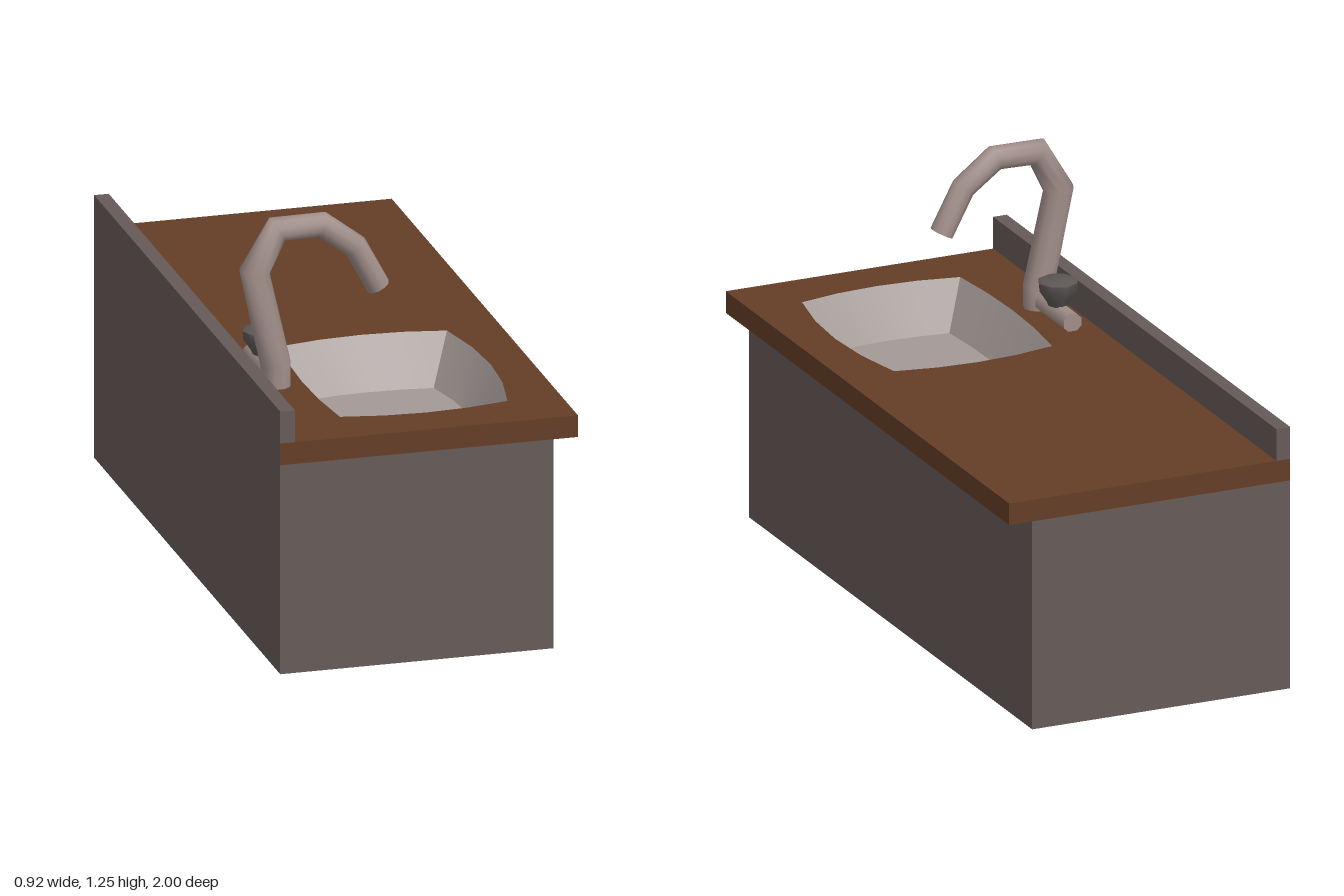
import * as THREE from 'three';
import { toCreasedNormals } from 'three/addons/utils/BufferGeometryUtils.js';

const mat = (color) => new THREE.MeshStandardMaterial({ color, side: THREE.DoubleSide });
const V = (x, y, z) => new THREE.Vector3(x, y, z);

// Skin a list of closed rings that all have the same number of points
function loft(rings, crease) {
  const n = rings[0].length, pos = [], index = [];
  rings.forEach((ring) => ring.forEach((p) => pos.push(p.x, p.y, p.z)));
  for (let i = 0; i < rings.length - 1; i++) {
    for (let j = 0; j < n; j++) {
      const a = i * n + j, b = i * n + (j + 1) % n;
      index.push(a, b, a + n, b, b + n, a + n);
    }
  }
  const g = new THREE.BufferGeometry();
  g.setAttribute('position', new THREE.Float32BufferAttribute(pos, 3));
  g.setIndex(index);
  g.computeVertexNormals();
  return crease ? toCreasedNormals(g, crease) : g;
}

// Pillow-shaped outline: four corners with bowed sides
function pillow(x0, x1, z0, z1, bowX0, bowX1, bowZ, y) {
  const corners = [[x0, z0], [x0, z1], [x1, z1], [x1, z0]];
  const bows = [[-bowX0, 0], [0, bowZ], [bowX1, 0], [0, -bowZ]];
  const pts = [], steps = 4;
  corners.forEach(([ax, az], i) => {
    const [bx, bz] = corners[(i + 1) % 4];
    for (let k = 0; k < steps; k++) {
      const t = k / steps, s = 4 * t * (1 - t);
      pts.push(V(ax + (bx - ax) * t + bows[i][0] * s, y, az + (bz - az) * t + bows[i][1] * s));
    }
  });
  return pts;
}

export function createModel() {
  const model = new THREE.Group();
  const cabinetMat = mat(0x665a57), woodMat = mat(0x643e27), lipMat = mat(0x5c6261);
  const metalMat = mat(0xa08e89), sinkMat = mat(0xa39a97), darkMat = mat(0x5c5655);
  const add = (name, geo, material, x = 0, y = 0, z = 0, parent = model) => {
    const m = new THREE.Mesh(geo, material);
    m.name = name;
    m.position.set(x, y, z);
    parent.add(m);
    return m;
  };

  // Main dimensions
  const back = -0.46, face = 0.38, edge = 0.455, under = 0.655, top = 0.723;

  // Four upright panels around a rectangle, open above and below
  const surround = (name, x0, x1, y0, y1, material, withBack) => {
    const group = new THREE.Group();
    group.name = name;
    const w = x1 - x0, h = y1 - y0, cx = (x0 + x1) / 2, cy = (y0 + y1) / 2;
    add('frontPanel', new THREE.PlaneGeometry(w, h), material, cx, cy, 1, group);
    add('rearPanel', new THREE.PlaneGeometry(w, h), material, cx, cy, -1, group).rotation.y = Math.PI;
    add('longPanel', new THREE.PlaneGeometry(2, h), material, x1, cy, 0, group).rotation.y = Math.PI / 2;
    if (withBack) {
      add('wallPanel', new THREE.PlaneGeometry(2, top), material, x0, top / 2, 0, group).rotation.y = -Math.PI / 2;
    }
    model.add(group);
  };
  surround('cabinet', back, face, 0, under, cabinetMat, true);
  surround('countertopEdge', back, edge, under, top, woodMat, false);

  // Underside of the counter overhang
  add('overhangUnderside', new THREE.PlaneGeometry(edge - face, 2), lipMat, (edge + face) / 2, under, 0)
    .rotation.x = Math.PI / 2;

  // Backsplash
  add('backsplash', new THREE.BoxGeometry(0.045, 0.1, 2), cabinetMat, back + 0.0225, top + 0.05, 0);

  // Countertop with the sink cut out
  const rim = pillow(-0.225, 0.29, 0.17, 0.82, 0.022, 0.042, 0.033, top);
  const slab = new THREE.Shape([[back, -1], [edge, -1], [edge, 1], [back, 1]].map(([x, y]) => new THREE.Vector2(x, y)));
  slab.holes.push(new THREE.Path(rim.map((p) => new THREE.Vector2(p.x, -p.z))));
  add('countertop', new THREE.ShapeGeometry(slab).rotateX(-Math.PI / 2), woodMat, 0, top, 0);

  // Sink basin
  const floorY = top - 0.145;
  const floor = pillow(-0.16, 0.225, 0.255, 0.755, 0.013, 0.035, 0.017, floorY);
  const middle = floor.map(() => V(0.035, floorY, 0.5));
  add('sinkBasin', loft([rim, floor, middle], 0.7), sinkMat);

  // Faucet: mitred tube bent in the x-y plane
  const faucet = new THREE.Group();
  faucet.name = 'faucet';
  model.add(faucet);
  const path = [[-0.33, top], [-0.33, 0.79], [-0.395, 1.085], [-0.325, 1.211], [-0.188, 1.213], [-0.085, 1.135], [-0.014, 1.002]]
    .map(([x, y]) => V(x, y, 0.495));
  const radii = [0.046, 0.046, 0.044, 0.038, 0.037, 0.036, 0.036];
  const ring = (c, across, r, stretch = 1, sides = 10) => Array.from({ length: sides }, (_, k) => {
    const a = k / sides * Math.PI * 2;
    return c.clone().addScaledVector(across, Math.cos(a) * r * stretch).add(V(0, 0, -Math.sin(a) * r));
  });
  const dir = (i) => path[i + 1].clone().sub(path[i]).normalize();
  const last = path.length - 1;
  const rings = path.map((p, i) => {
    const d0 = dir(Math.max(i - 1, 0)), d1 = dir(Math.min(i, last - 1));
    const d = d0.clone().add(d1).normalize();
    return ring(p, V(d.y, -d.x, 0), radii[i], 1 / d.dot(d1));
  });
  add('spout', loft(rings), metalMat, 0, 0, 0, faucet);

  // Recessed outlet at the spout tip
  const d = dir(last - 1), across = V(d.y, -d.x, 0), tip = path[last];
  const inner = tip.clone().addScaledVector(d, -0.02);
  add('outlet', loft([ring(tip, across, 0.036), ring(tip, across, 0.027), ring(inner, across, 0.025), ring(inner, across, 0)], 0.6),
    darkMat, 0, 0, 0, faucet);

  // Side arm and knob
  const arm = new THREE.CylinderGeometry(0.031, 0.031, 0.235, 8).rotateY(Math.PI / 8).rotateX(Math.PI / 2);
  add('handleArm', arm, metalMat, -0.333, 0.749, 0.378, faucet);
  const profile = [[0, 0.77], [0.03, 0.775], [0.037, 0.79], [0.06, 0.825], [0.062, 0.85], [0.045, 0.857], [0, 0.857]]
    .map(([r, y]) => new THREE.Vector2(r, y));
  add('knob', toCreasedNormals(new THREE.LatheGeometry(profile, 8), 0.9), darkMat, -0.33, 0, 0.357, faucet);

  return model;
}
